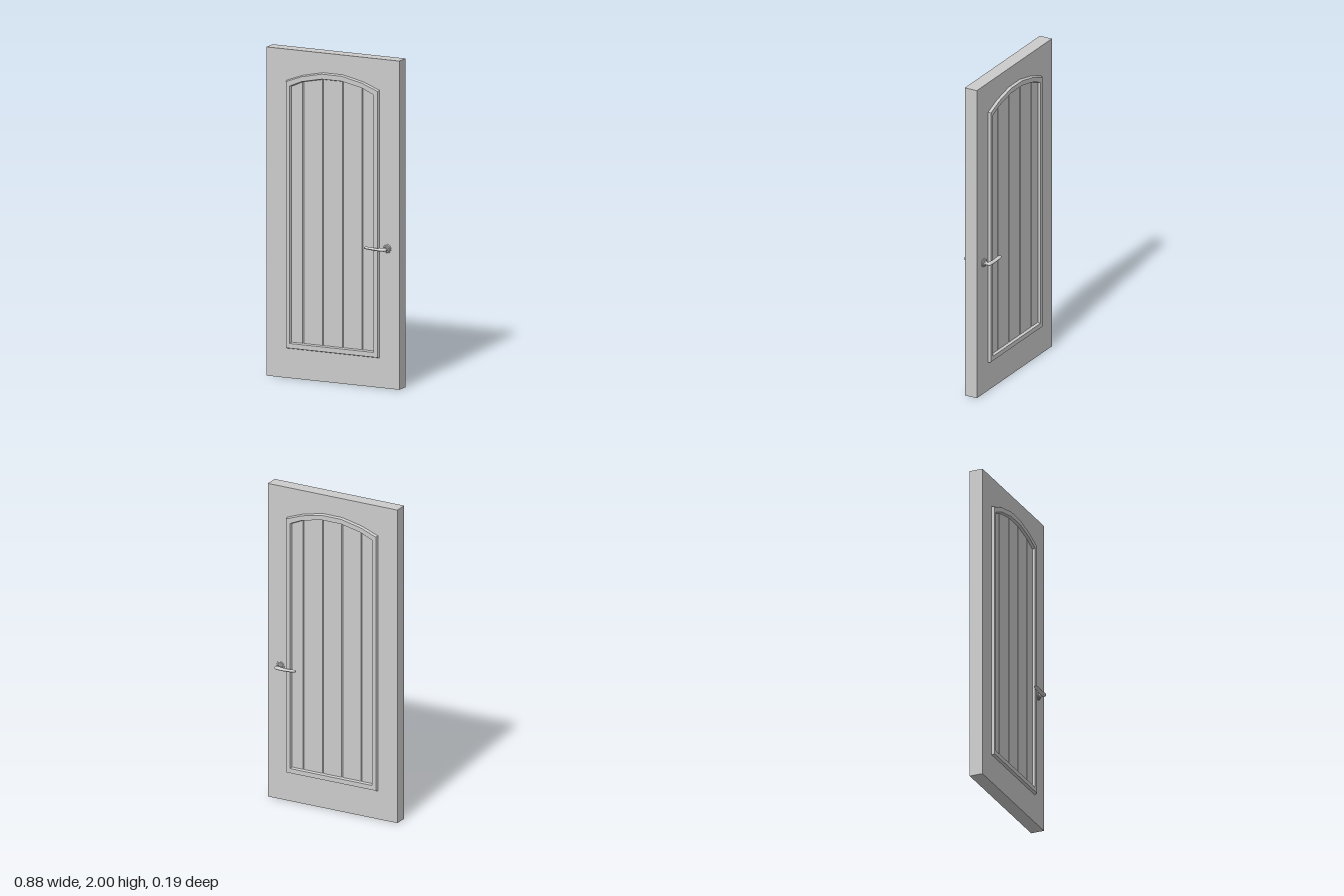
import * as THREE from 'three';

const T = 0.0415; // half thickness of the slab
const material = new THREE.MeshStandardMaterial({ color: 0xcccccc, flatShading: true });
const smooth = new THREE.MeshStandardMaterial({ color: 0xcccccc });

// Arched outlines, counter-clockwise from the lower left corner
const outer = [[-0.31, 0.18], [0.31, 0.18], [0.31, 1.81], [0.2, 1.851], [0.065, 1.88],
  [-0.065, 1.88], [-0.2, 1.851], [-0.31, 1.81]];
const inner = [[-0.275, 0.22], [0.275, 0.22], [0.275, 1.776], [0.2, 1.81], [0.065, 1.838],
  [-0.065, 1.838], [-0.2, 1.81], [-0.275, 1.776]];

function add(parent, name, geometry, mat = material) {
  const mesh = new THREE.Mesh(geometry, mat);
  mesh.name = name;
  parent.add(mesh);
  return mesh;
}

// Skin a list of equally long point loops
function skin(loops, closed) {
  const n = loops[0].length, index = [];
  for (let i = 0; i < loops.length - 1; i++) {
    for (let j = 0; j < (closed ? n : n - 1); j++) {
      const k = (j + 1) % n, a = i * n + j, b = i * n + k;
      index.push(a, b, b + n, a, b + n, a + n);
    }
  }
  const g = new THREE.BufferGeometry();
  g.setAttribute('position', new THREE.Float32BufferAttribute(loops.flat(2), 3));
  g.setIndex(index);
  g.computeVertexNormals();
  return g;
}

// Raised moulding: t runs from the outer outline (0) to the inner one (1)
function mouldingGeometry() {
  const section = [[0, T], [0.14, 0.058], [0.86, 0.058], [1, T - 0.001]];
  return skin(section.map(([t, z]) => outer.map(([x, y], i) => [
    x + (inner[i][0] - x) * t, y + (inner[i][1] - y) * t, z])), true);
}

// Plank panel with V grooves, its top following the arch
function panelGeometry() {
  const arch = inner.slice(2).reverse();
  const top = (x) => {
    let i = 0;
    while (i < arch.length - 2 && x > arch[i + 1][0]) i++;
    const [x0, y0] = arch[i], [x1, y1] = arch[i + 1];
    return y0 + (y1 - y0) * (x - x0) / (x1 - x0);
  };
  const stations = [[-0.275, T]];
  for (const x of [-0.197, -0.066, 0.066, 0.197]) {
    stations.push([x - 0.0035, T], [x, T - 0.007], [x + 0.0035, T]);
  }
  stations.push([0.275, T]);
  return skin([
    stations.map(([x, z]) => [x, 0.22, z]),
    stations.map(([x, z]) => [x, top(x), z]),
  ], false);
}

// Lever lofted from ellipses along x: [x, y, z, ry, rz]
function leverGeometry() {
  const rings = [
    [0.228, 0.002, 0.081, 0, 0], [0.230, 0.002, 0.081, 0.004, 0.006],
    [0.236, 0.002, 0.081, 0.007, 0.011], [0.246, 0.001, 0.081, 0.008, 0.013],
    [0.275, -0.001, 0.081, 0.008, 0.0135], [0.31, -0.003, 0.080, 0.008, 0.014],
    [0.34, -0.001, 0.079, 0.010, 0.0155], [0.36, 0, 0.078, 0.011, 0.016],
    [0.369, 0, 0.077, 0.009, 0.012], [0.373, 0, 0.077, 0.005, 0.006],
    [0.374, 0, 0.077, 0, 0],
  ];
  return skin(rings.map(([x, y, z, ry, rz]) => Array.from({ length: 16 }, (_, i) => {
    const a = i / 16 * Math.PI * 2;
    return [x, y + ry * Math.cos(a), z + rz * Math.sin(a)];
  })), true);
}

function makeHandle(name) {
  const handle = new THREE.Group();
  handle.name = name;
  // Stepped rose and flared neck
  const profile = [[0.029, 0.040], [0.029, 0.045], [0.024, 0.047], [0.022, 0.051],
    [0.015, 0.052], [0.012, 0.057], [0.012, 0.064], [0.014, 0.072]];
  const rose = new THREE.LatheGeometry(profile.map(([r, z]) => new THREE.Vector2(r, z)), 16);
  rose.rotateX(Math.PI / 2);
  add(handle, 'rose', rose).position.x = 0.358;
  add(handle, 'lever', leverGeometry(), smooth);
  handle.position.y = 0.85;
  return handle;
}

export function createModel() {
  const door = new THREE.Group();
  door.name = 'door';

  // Slab with an arched opening
  const slab = new THREE.Shape([[-0.442, 0], [0.442, 0], [0.442, 2], [-0.442, 2]]
    .map(([x, y]) => new THREE.Vector2(x, y)));
  slab.holes.push(new THREE.Path(inner.map(([x, y]) => new THREE.Vector2(x, y))));
  const slabGeometry = new THREE.ExtrudeGeometry(slab, { depth: 2 * T, bevelEnabled: false });
  slabGeometry.translate(0, 0, -T);
  add(door, 'slab', slabGeometry);

  // Moulding, planks and handle on both faces
  for (const side of ['front', 'back']) {
    const face = new THREE.Group();
    face.name = side + 'Face';
    add(face, 'moulding', mouldingGeometry());
    add(face, 'plankPanel', panelGeometry());
    const handle = makeHandle(side + 'Handle');
    if (side === 'back') {
      face.rotation.y = Math.PI;
      handle.scale.z = -1;
    }
    door.add(face, handle);
  }
  return door;
}
